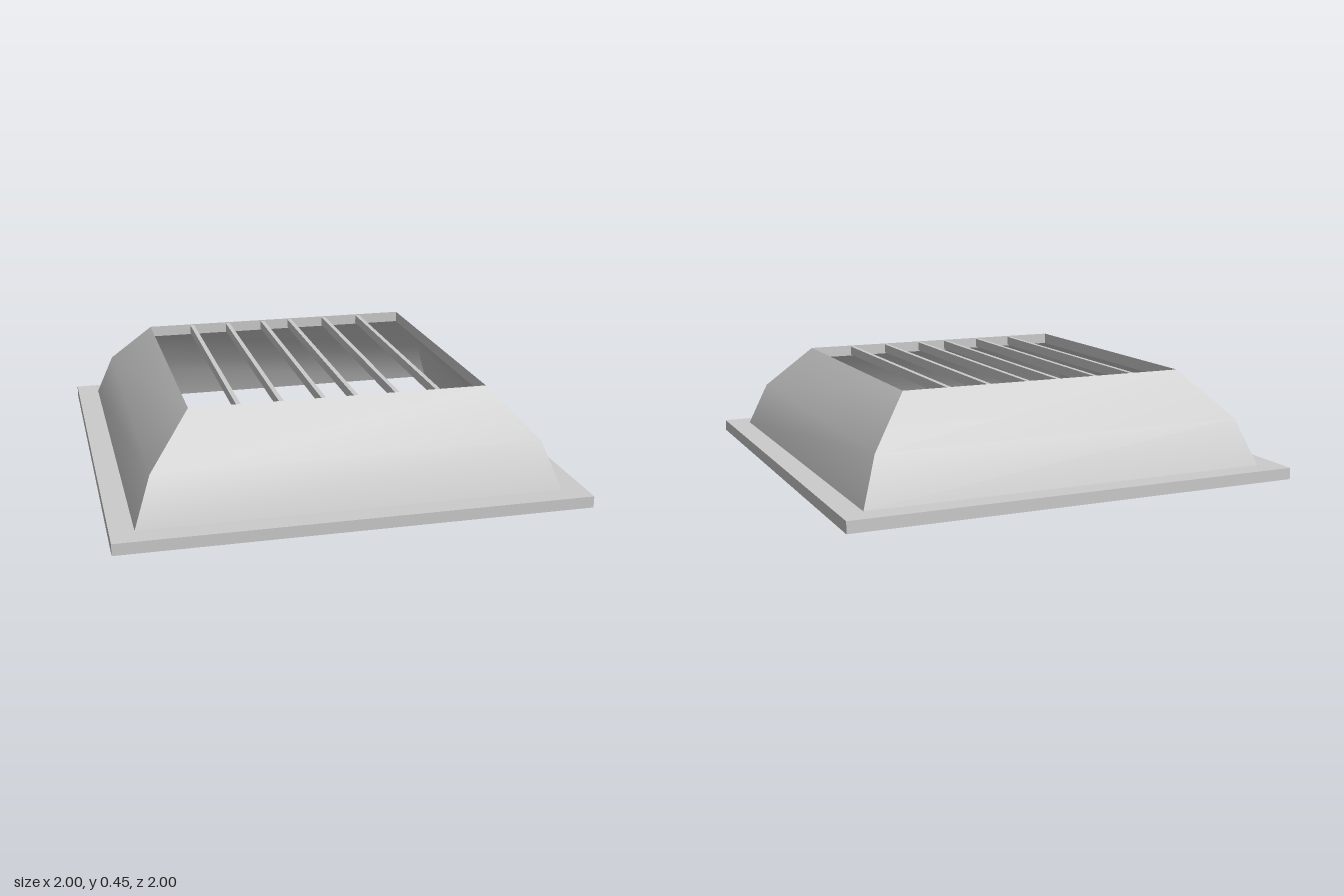
import * as THREE from 'three';

const material = new THREE.MeshStandardMaterial({ color: 0xcccccc, side: THREE.DoubleSide });

// One side (+z) of a square ring swept along a profile of [half-width, height] points
function sideGeometry(profile, inward) {
  const positions = [], index = [];
  profile.forEach(([r, y], i) => {
    positions.push(-r, y, r, r, y, r);
    if (i === 0) return;
    const a = 2 * i - 2, b = a + 1, c = a + 2, d = a + 3;
    index.push(...(inward ? [a, d, b, a, c, d] : [a, b, d, a, d, c]));
  });
  const geometry = new THREE.BufferGeometry();
  geometry.setAttribute('position', new THREE.Float32BufferAttribute(positions, 3));
  geometry.setIndex(index);
  geometry.computeVertexNormals();
  return geometry;
}

function squareRing(name, profile, inward = false) {
  const ring = new THREE.Group();
  ring.name = name;
  const geometry = sideGeometry(profile, inward);
  for (let i = 0; i < 4; i++) {
    const side = new THREE.Mesh(geometry, material);
    side.name = name + 'Side';
    side.rotation.y = i * Math.PI / 2;
    ring.add(side);
  }
  return ring;
}

export function createModel() {
  const model = new THREE.Group();
  model.name = 'slattedHood';

  // Flat square flange with an open middle
  const outline = new THREE.Shape([[-1, -1], [1, -1], [1, 1], [-1, 1]].map(p => new THREE.Vector2(...p)));
  outline.holes.push(new THREE.Path([[-0.9, -0.9], [-0.9, 0.9], [0.9, 0.9], [0.9, -0.9]].map(p => new THREE.Vector2(...p))));
  const flange = new THREE.Mesh(
    new THREE.ExtrudeGeometry(outline, { depth: 0.05, bevelEnabled: false }).rotateX(-Math.PI / 2), material);
  flange.name = 'flange';
  model.add(flange);

  // Sloping hood: outer skin, inner skin and the upright lip round the opening
  const outer = [[0.9, 0.05], [0.825, 0.25], [0.64, 0.45]];
  const inner = outer.map(([r, y]) => [r, y - 0.05]);
  model.add(squareRing('hoodOuter', outer));
  model.add(squareRing('hoodInner', inner, true));
  model.add(squareRing('openingLip', [[0.64, 0.4], [0.64, 0.45]], true));

  // Slats across the opening, mirrored about the middle
  const slatGeometry = new THREE.BoxGeometry(0.02, 0.04, 1.28);
  for (const x of [0.07, 0.25, 0.43]) {
    for (const sign of [-1, 1]) {
      const slat = new THREE.Mesh(slatGeometry, material);
      slat.name = 'slat';
      slat.position.set(sign * x, 0.425, 0);
      model.add(slat);
    }
  }
  return model;
}
